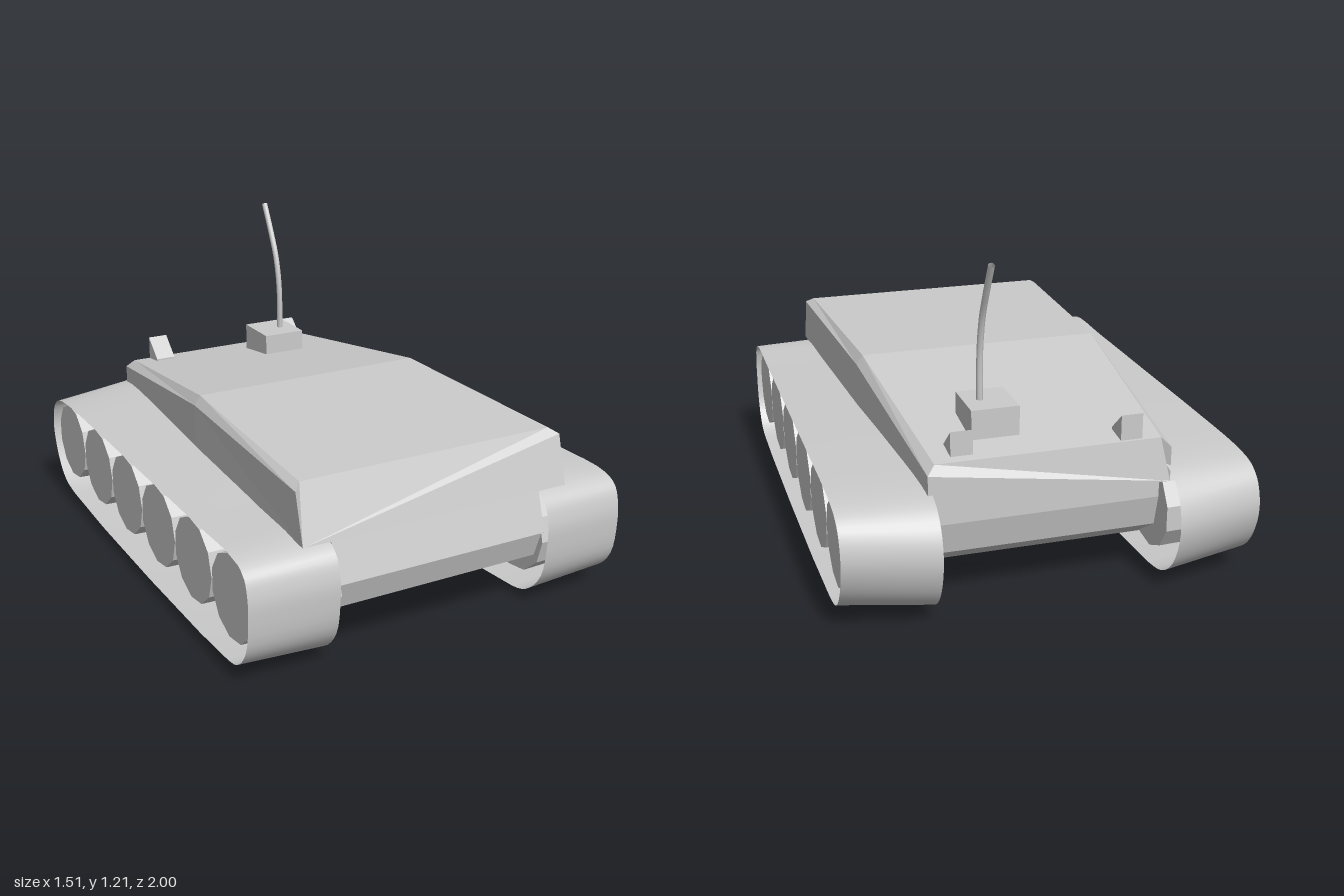
import * as THREE from 'three';

const flat = new THREE.MeshStandardMaterial({ color: 0xcccccc, flatShading: true });
const smooth = new THREE.MeshStandardMaterial({ color: 0xcccccc, side: THREE.DoubleSide });

function add(parent, name, geometry, material = flat) {
  const mesh = new THREE.Mesh(geometry, material);
  mesh.name = name;
  parent.add(mesh);
  return mesh;
}

// Skin a series of closed rings, each with the same number of points
function loft(rings, capped) {
  const n = rings[0].length, last = (rings.length - 1) * n, index = [];
  for (let i = 0; i < rings.length - 1; i++) {
    for (let j = 0; j < n; j++) {
      const a = i * n + j, b = i * n + (j + 1) % n;
      index.push(a, b, b + n, a, b + n, a + n);
    }
  }
  if (capped) {
    for (let j = 1; j < n - 1; j++) index.push(0, j + 1, j, last, last + j, last + j + 1);
  }
  const g = new THREE.BufferGeometry();
  g.setAttribute('position', new THREE.Float32BufferAttribute(rings.flat(2), 3));
  g.setIndex(index);
  g.computeVertexNormals();
  return g;
}

// Extrude a side profile of [z, y] points across the width, centred on x
function sideExtrude(points, width) {
  const shape = new THREE.Shape(points.map(p => new THREE.Vector2(...p)));
  return new THREE.ExtrudeGeometry(shape, { depth: width, bevelEnabled: false })
    .rotateY(-Math.PI / 2).translate(width / 2, 0, 0);
}

// Smooth closed ring at a given x from [z, y] points
function trackRing(points, x) {
  const curve = new THREE.CatmullRomCurve3(
    points.map(([z, y]) => new THREE.Vector3(x, y, z)), true, 'centripetal');
  return curve.getPoints(64).slice(0, 64).map(p => p.toArray());
}

export function createModel() {
  const model = new THREE.Group();
  model.name = 'trackedVehicle';

  // Lower hull between the tracks
  add(model, 'lowerHull', sideExtrude([
    [0.78, 0.1], [0.94, 0.2], [0.975, 0.3], [0.93, 0.45],
    [-0.83, 0.45], [-0.83, 0.32], [-0.8, 0.2], [-0.65, 0.1]], 0.85));

  // Upper hull: stations from front to back, each bottom, shoulder, top as [halfWidth, y, z]
  const stations = [
    [[0.535, 0.45, 0.94], [0.535, 0.63, 0.89], [0.505, 0.65, 0.86]],
    [[0.495, 0.44, 0], [0.495, 0.63, 0], [0.47, 0.665, 0]],
    [[0.44, 0.39, -0.86], [0.44, 0.52, -0.86], [0.41, 0.55, -0.835]],
  ];
  add(model, 'upperHull', loft(stations.map(s => [
    ...s.map(([x, y, z]) => [-x, y, z]), ...[...s].reverse()]), true));

  // Tracks: open bands that narrow toward the outside
  const outer = [[0.985, 0.27], [0.965, 0.14], [0.9, 0.06], [0.8, 0.037], [-0.72, 0.045],
    [-0.83, 0.075], [-0.9, 0.15], [-0.94, 0.27], [-0.915, 0.37], [-0.86, 0.415],
    [-0.76, 0.435], [-0.4, 0.443], [0, 0.443], [0.6, 0.443], [0.89, 0.44], [0.955, 0.41], [0.98, 0.35]];
  const inner = [[0.998, 0.27], [0.975, 0.13], [0.9, 0.04], [0.8, 0.008], [-0.75, 0.015],
    [-0.88, 0.05], [-0.96, 0.13], [-1, 0.26], [-0.98, 0.36], [-0.92, 0.43],
    [-0.82, 0.458], [-0.4, 0.47], [0, 0.468], [0.6, 0.46], [0.9, 0.45], [0.97, 0.41], [0.995, 0.34]];
  for (const s of [1, -1]) {
    const side = new THREE.Group();
    side.name = s > 0 ? 'leftRunningGear' : 'rightRunningGear';
    model.add(side);
    add(side, 'track', loft([trackRing(inner, s * 0.425), trackRing(outer, s * 0.757)]), smooth);

    // Faceted road wheels, slightly wider on the inside
    for (let i = 0; i < 6; i++) {
      const wheel = add(side, 'roadWheel', new THREE.CylinderGeometry(0.157, 0.165, 0.325, 11));
      wheel.rotation.z = -s * Math.PI / 2;
      wheel.position.set(s * 0.575, 0.265, 0.82 - i * 0.314);
    }
  }

  // Antenna base and bent whip
  add(model, 'antennaBase', new THREE.BoxGeometry(0.175, 0.135, 0.195)).position.set(0.157, 0.608, -0.612);
  const whip = new THREE.CatmullRomCurve3([[0.66, -0.61], [0.85, -0.613], [0.98, -0.64], [1.08, -0.685], [1.195, -0.745]]
    .map(([y, z]) => new THREE.Vector3(0.185, y, z)));
  add(model, 'antenna', new THREE.TubeGeometry(whip, 14, 0.012, 7), smooth);

  // Wedge-shaped hooks on the rear deck
  for (const [x, z] of [[-0.302, -0.742], [0.305, -0.715]]) {
    add(model, 'deckHook', sideExtrude([[0, 0.55], [0, 0.57], [-0.085, 0.645], [-0.085, 0.54]].reverse(), 0.08))
      .position.set(x, 0, z);
  }

  return model;
}
